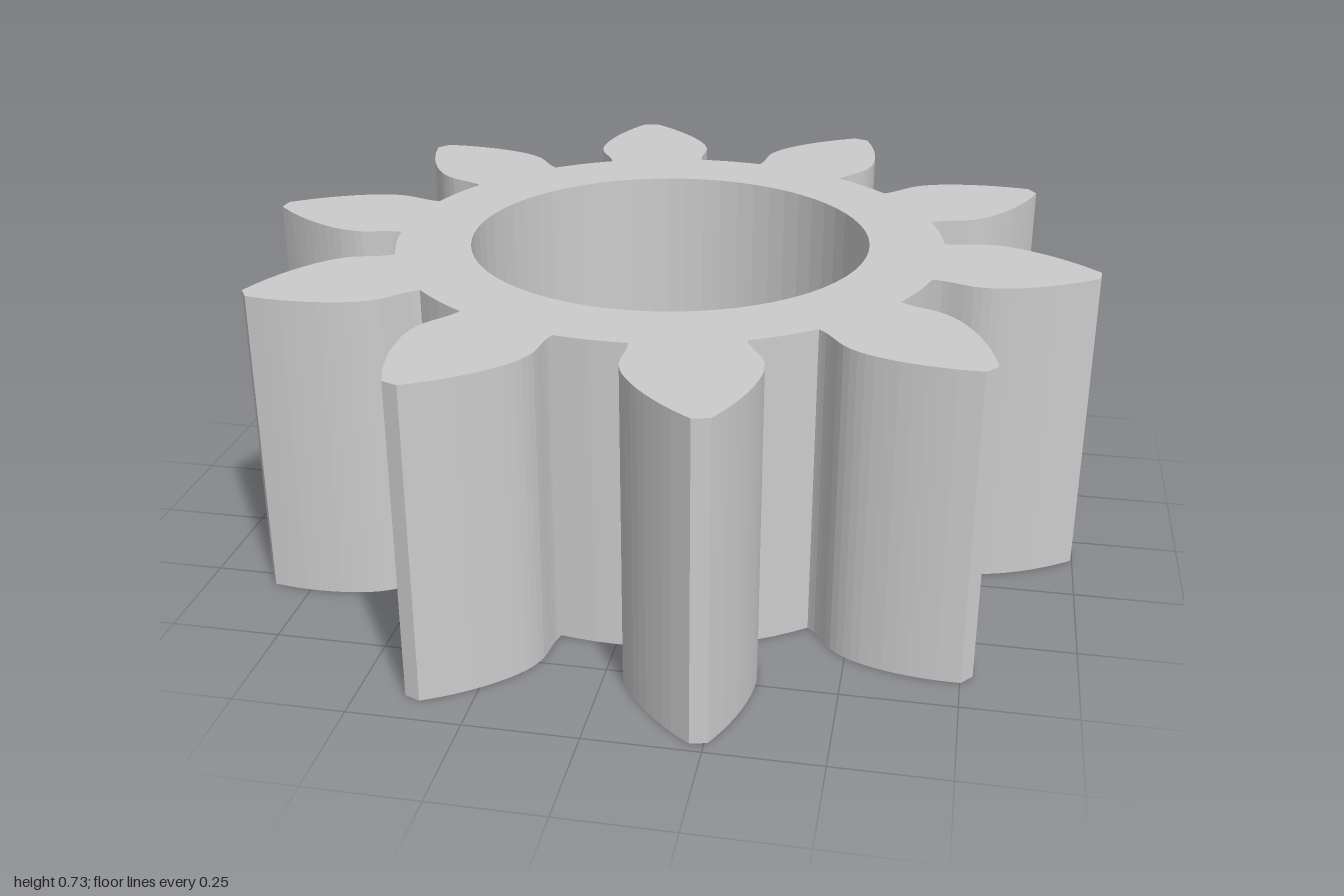
import * as THREE from 'three';

const TEETH = 10, HEIGHT = 0.725, BORE = 0.472, ROOT = 0.648;
const PITCH = (Math.PI * 2) / TEETH;
const PHASE = THREE.MathUtils.degToRad(4.2);

// One tooth flank: distance from the gear axis, half-width of the tooth
const FLANK = [
  [0.637, 0.122], [0.66, 0.124], [0.69, 0.132], [0.73, 0.143], [0.77, 0.143],
  [0.81, 0.134], [0.86, 0.114], [0.91, 0.087], [0.96, 0.053], [1.001, 0.019],
].map(([u, v]) => new THREE.Vector2(u, v));

function gearOutline() {
  const flank = new THREE.SplineCurve(FLANK).getPoints(18);
  const mirrored = flank.map((p) => new THREE.Vector2(p.x, -p.y));
  const tooth = [...mirrored, ...flank.reverse()];
  const rootHalf = Math.atan2(FLANK[0].y, FLANK[0].x);
  const centre = new THREE.Vector2();
  const points = [];
  for (let i = 0; i < TEETH; i++) {
    const angle = PHASE + i * PITCH;
    for (const p of tooth) points.push(p.clone().rotateAround(centre, angle));
    // root arc up to the next tooth
    for (let k = 1; k < 4; k++) {
      const a = angle + rootHalf + (k / 4) * (PITCH - 2 * rootHalf);
      points.push(new THREE.Vector2(Math.cos(a) * ROOT, Math.sin(a) * ROOT));
    }
  }
  return new THREE.Shape(points);
}

export function createModel() {
  const group = new THREE.Group();
  group.name = 'spurGear';

  // Toothed ring with a round bore, extruded upwards
  const shape = gearOutline();
  shape.holes.push(new THREE.Path().absarc(0, 0, BORE, 0, Math.PI * 2, true));
  const geometry = new THREE.ExtrudeGeometry(shape, {
    depth: HEIGHT, bevelEnabled: false, curveSegments: 32,
  });
  geometry.rotateX(Math.PI / 2);
  geometry.translate(0, HEIGHT, 0);

  const gear = new THREE.Mesh(geometry, new THREE.MeshStandardMaterial({ color: 0xcccccc }));
  gear.name = 'gearBody';
  group.add(gear);
  return group;
}
